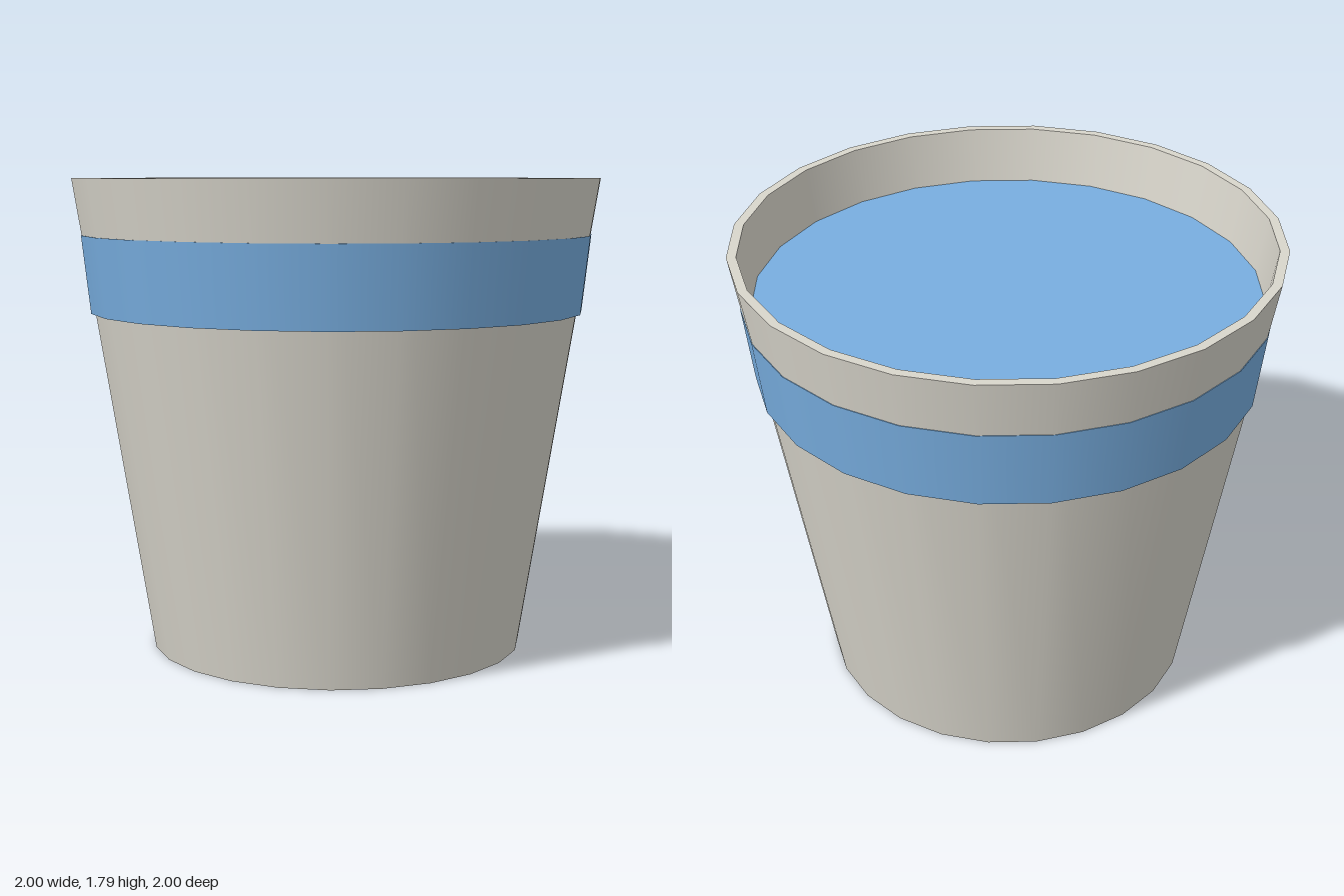
import * as THREE from 'three';
import { mergeGeometries } from 'three/addons/utils/BufferGeometryUtils.js';

const SIDES = 24;

// Revolves each profile segment on its own: smooth around, sharp at the corners.
function turned(profile) {
  const pts = profile.map(([r, y]) => new THREE.Vector2(r, y));
  const rings = [];
  for (let i = 0; i < pts.length - 1; i++) {
    rings.push(new THREE.LatheGeometry([pts[i], pts[i + 1]], SIDES));
  }
  return mergeGeometries(rings);
}

export function createModel() {
  const group = new THREE.Group();
  group.name = 'cup';

  const clay = new THREE.MeshStandardMaterial({ color: 0xd9d6cc });
  clay.name = 'warm grey';
  const blue = new THREE.MeshStandardMaterial({ color: 0x78aee0 });
  blue.name = 'blue';

  // Tapered hollow body: base, outer wall, rim, inner wall, floor
  const body = new THREE.Mesh(
    turned([[0, 0], [0.713, 0], [1, 1.79], [0.965, 1.79], [0.686, 0.04], [0, 0.04]]),
    clay
  );
  body.name = 'body';
  group.add(body);

  // Solid band through the body: its side is the stripe, its top the liquid surface
  const band = new THREE.Mesh(turned([[0, 1.29], [0.937, 1.29], [0.969, 1.58], [0, 1.58]]), blue);
  band.name = 'bandAndLiquid';
  group.add(band);

  return group;
}
